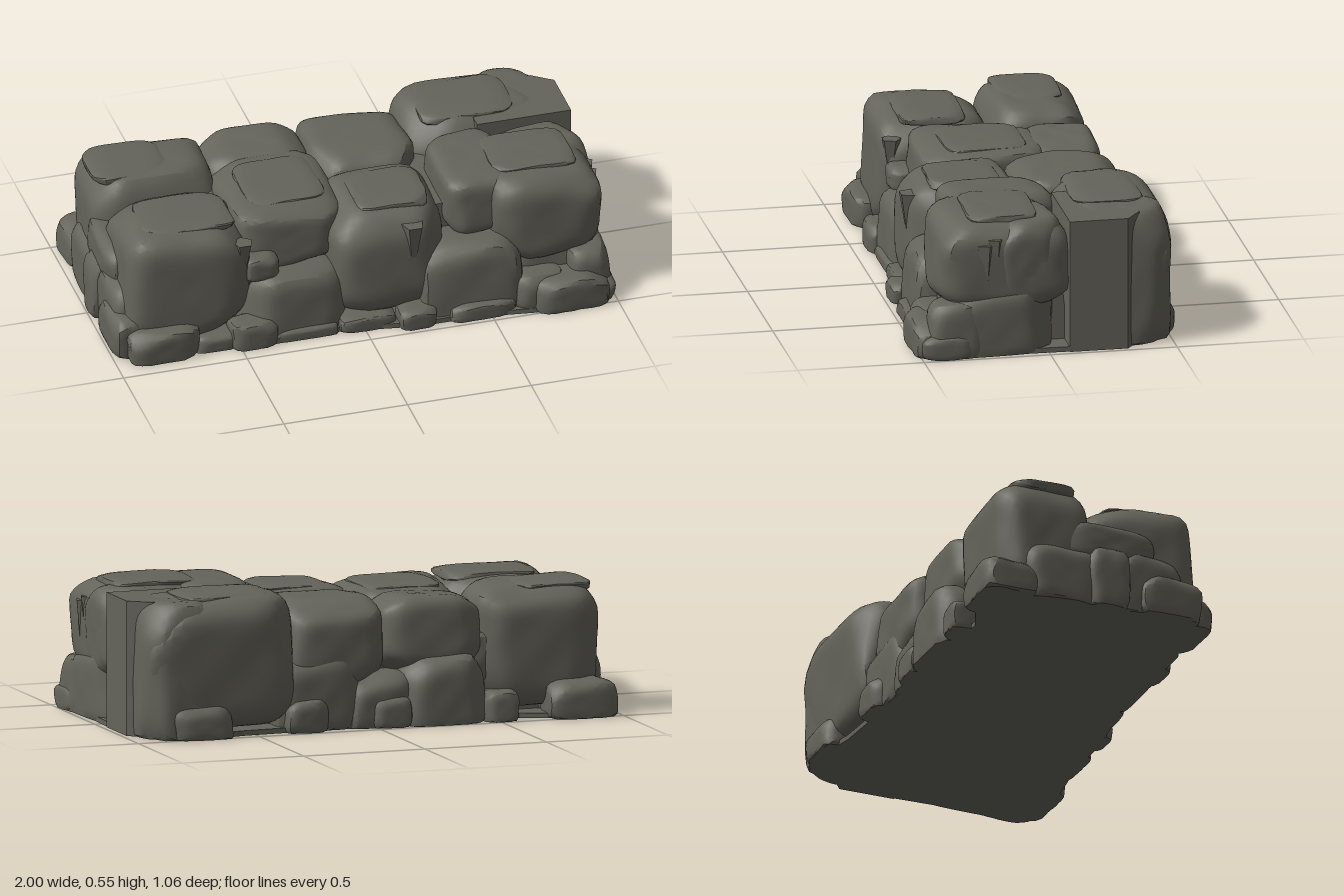
import * as THREE from 'three';
import { mergeVertices, toCreasedNormals } from 'three/addons/utils/BufferGeometryUtils.js';

const stone = new THREE.MeshStandardMaterial({ color: 0x65645b });
stone.name = 'stone';

function seeded(seed) {
  let s = (seed * 7919 + 17) % 2147483647;
  const next = () => (s = (s * 16807) % 2147483647) / 2147483647;
  for (let i = 0; i < 5; i++) next();
  return next;
}

// Chiselled boulder: rounded intersection of tilted planes, fitted to a box and cut flat at the ground
function boulderGeometry([x0, x1], [y0, y1], [z0, z1], seed, detail) {
  const rnd = seeded(seed);
  const planes = [];
  for (let i = -1; i <= 1; i++) for (let j = -1; j <= 1; j++) for (let k = -1; k <= 1; k++) {
    const count = Math.abs(i) + Math.abs(j) + Math.abs(k);
    if (!count) continue;
    const tilt = count === 1 ? 0.1 : 0.4;
    const n = new THREE.Vector3(i, j, k).normalize();
    n.x += (rnd() - 0.5) * tilt;
    n.y += (rnd() - 0.5) * tilt;
    n.z += (rnd() - 0.5) * tilt;
    n.normalize();
    const reach = [0, 1, 1.13 + rnd() * 0.2, 1.24 + rnd() * 0.26][count];
    planes.push([n, reach]);
  }
  let geo = new THREE.IcosahedronGeometry(1, detail);
  geo.deleteAttribute('normal');
  geo.deleteAttribute('uv');
  geo = mergeVertices(geo, 1e-4);
  const pos = geo.attributes.position, v = new THREE.Vector3();
  for (let i = 0; i < pos.count; i++) {
    v.fromBufferAttribute(pos, i).normalize();
    let sum = 0;
    for (const [n, d] of planes) sum += Math.pow(Math.max(0, n.dot(v) / d), 22);
    const bump = 1 + 0.012 * Math.sin(v.x * 7 + seed) * Math.sin(v.y * 6 + seed * 2) * Math.sin(v.z * 8 + seed * 3);
    v.multiplyScalar(bump * Math.pow(sum, -1 / 22));
    pos.setXYZ(i, v.x, v.y, v.z);
  }
  geo.computeBoundingBox();
  const { min, max } = geo.boundingBox;
  for (let i = 0; i < pos.count; i++) {
    const f = (a, lo, hi, p, q) => p + (a - lo) / (hi - lo) * (q - p);
    pos.setXYZ(i, f(pos.getX(i), min.x, max.x, x0, x1),
      Math.max(0, f(pos.getY(i), min.y, max.y, y0, y1)),
      f(pos.getZ(i), min.z, max.z, z0, z1));
  }
  return toCreasedNormals(geo, 0.5);
}

// Upright prism from an outline of [x, z] points
function prism(outline, y0, y1) {
  const shape = new THREE.Shape(outline.map(([x, z]) => new THREE.Vector2(x, -z)));
  const geo = new THREE.ExtrudeGeometry(shape, { depth: y1 - y0, bevelEnabled: false });
  return geo.rotateX(-Math.PI / 2).translate(0, y0, 0);
}

// Each row: x range, y range, z range
const topBoulders = [
  [[-0.95, -0.43], [0.04, 0.515], [-0.45, -0.05]],
  [[-0.46, -0.04], [0.2, 0.495], [-0.43, -0.14]],
  [[-0.07, 0.36], [0.14, 0.495], [-0.45, 0.01]],
  [[0.33, 0.94], [0.02, 0.55], [-0.505, -0.07]],
  [[0.6, 0.96], [-0.08, 0.535], [-0.5, -0.1]],
  [[-0.94, -0.43], [0.02, 0.5], [-0.06, 0.385]],
  [[-0.48, -0.03], [0.22, 0.495], [-0.22, 0.3]],
  [[-0.12, 0.36], [0.04, 0.485], [-0.04, 0.42]],
  [[0.36, 0.66], [0.27, 0.54], [-0.09, 0.35]],
  [[0.52, 0.975], [0.16, 0.535], [-0.1, 0.43]],
  [[0.6, 0.98], [0.18, 0.53], [-0.07, 0.23]],
];

const lowerBoulders = [
  [[-0.48, -0.04], [-0.08, 0.27], [0.02, 0.42]],
  [[0.22, 0.65], [-0.1, 0.31], [0.05, 0.46]],
  [[0.6, 0.985], [-0.1, 0.29], [-0.03, 0.4]],
  [[-0.98, -0.7], [-0.06, 0.26], [0.0, 0.32]],
  [[-0.97, -0.75], [0.2, 0.36], [-0.2, 0.2]],
  [[-0.98, -0.7], [-0.05, 0.24], [-0.36, -0.02]],
  [[-0.46, -0.1], [-0.08, 0.27], [-0.5, -0.1]],
  [[-0.16, 0.12], [-0.06, 0.22], [-0.47, -0.1]],
  [[0.06, 0.4], [-0.06, 0.3], [-0.47, -0.1]],
  [[-0.6, -0.3], [0.1, 0.36], [-0.4, 0.34]],
];

const rubble = [
  [[-0.95, -0.66], [-0.03, 0.13], [0.26, 0.45]],
  [[-1, -0.85], [-0.03, 0.17], [0.12, 0.38]],
  [[-1, -0.86], [-0.03, 0.25], [-0.1, 0.08]],
  [[-0.68, -0.5], [-0.03, 0.07], [0.3, 0.42]],
  [[-0.54, -0.35], [-0.03, 0.11], [0.32, 0.45]],
  [[-0.47, -0.32], [0.25, 0.35], [0.22, 0.37]],
  [[-0.36, -0.1], [-0.02, 0.05], [0.34, 0.43]],
  [[-0.1, 0.13], [-0.02, 0.06], [0.3, 0.44]],
  [[0.13, 0.28], [-0.02, 0.08], [0.36, 0.485]],
  [[0.33, 0.6], [-0.02, 0.07], [0.36, 0.485]],
  [[0.6, 0.8], [-0.03, 0.15], [0.28, 0.49]],
  [[0.66, 0.97], [-0.04, 0.14], [0.3, 0.53]],
  [[0.82, 0.99], [-0.04, 0.22], [0.24, 0.47]],
  [[0.86, 1], [-0.02, 0.1], [0.3, 0.5]],
  [[-0.98, -0.7], [-0.04, 0.15], [-0.53, -0.3]],
  [[-0.58, -0.44], [-0.03, 0.12], [-0.5, -0.34]],
  [[-0.14, 0.02], [-0.03, 0.12], [-0.49, -0.35]],
  [[0.2, 0.38], [-0.03, 0.13], [-0.5, -0.34]],
  [[0.6, 0.86], [-0.03, 0.13], [-0.53, -0.34]],
];

// Thin flakes that step the tops
const flakes = [
  [[-0.93, -0.62], [0.47, 0.52], [-0.38, -0.12]],
  [[-0.85, -0.48], [0.46, 0.505], [0.03, 0.3]],
  [[-0.4, -0.08], [0.46, 0.5], [-0.13, 0.2]],
  [[0.0, 0.3], [0.45, 0.49], [0.05, 0.33]],
  [[0.4, 0.78], [0.5, 0.552], [-0.42, -0.14]],
  [[0.56, 0.9], [0.5, 0.548], [0.02, 0.3]],
];

// Narrow hanging splinters: x, top y, z, length, width
const splinters = [
  [0.2, 0.43, 0.4, 0.24, 0.045],
  [-0.47, 0.43, 0.34, 0.2, 0.04],
  [0.95, 0.45, 0.25, 0.38, 0.04],
  [0.95, 0.47, 0.21, 0.28, 0.035],
];

export function createModel() {
  const model = new THREE.Group();
  model.name = 'rockWall';
  const add = (name, geo, parent = model) => {
    const mesh = new THREE.Mesh(geo, stone);
    mesh.name = name;
    parent.add(mesh);
    return mesh;
  };

  // Flat ground slab and inner core filling the gaps
  add('groundSlab', prism([[-0.97, 0.3], [-0.86, 0.4], [-0.62, 0.4], [-0.4, 0.43], [-0.1, 0.41], [0.2, 0.46],
    [0.45, 0.46], [0.66, 0.49], [0.9, 0.51], [0.99, 0.42], [0.97, 0.1], [0.98, -0.3], [0.88, -0.38], [0.74, -0.5],
    [0.55, -0.46], [0.2, -0.44], [-0.3, -0.46], [-0.6, -0.42], [-0.8, -0.5], [-0.94, -0.44], [-0.95, 0]], 0, 0.02));
  add('core', new THREE.BoxGeometry(1.7, 0.41, 0.58).translate(0.02, 0.205, -0.04));

  // Flat cut end on the left
  add('cutEnd', prism([[0.6, -0.08], [0.98, -0.08], [0.98, -0.31], [0.9, -0.37], [0.6, -0.4]], 0, 0.53));

  let seed = 3;
  const pile = (groupName, partName, rows, detail) => {
    const group = new THREE.Group();
    group.name = groupName;
    rows.forEach(([x, y, z]) => add(partName, boulderGeometry(x, y, z, seed++, detail), group));
    model.add(group);
  };
  pile('topBoulders', 'topBoulder', topBoulders, 11);
  pile('lowerBoulders', 'lowerBoulder', lowerBoulders, 9);
  pile('rubble', 'rubbleStone', rubble, 6);
  pile('topFlakes', 'flake', flakes, 6);

  for (const [x, y, z, length, width] of splinters) {
    const geo = new THREE.ConeGeometry(width, length, 5).rotateX(Math.PI);
    add('splinter', toCreasedNormals(geo, 0.3)).position.set(x, y - length / 2, z);
  }
  return model;
}
